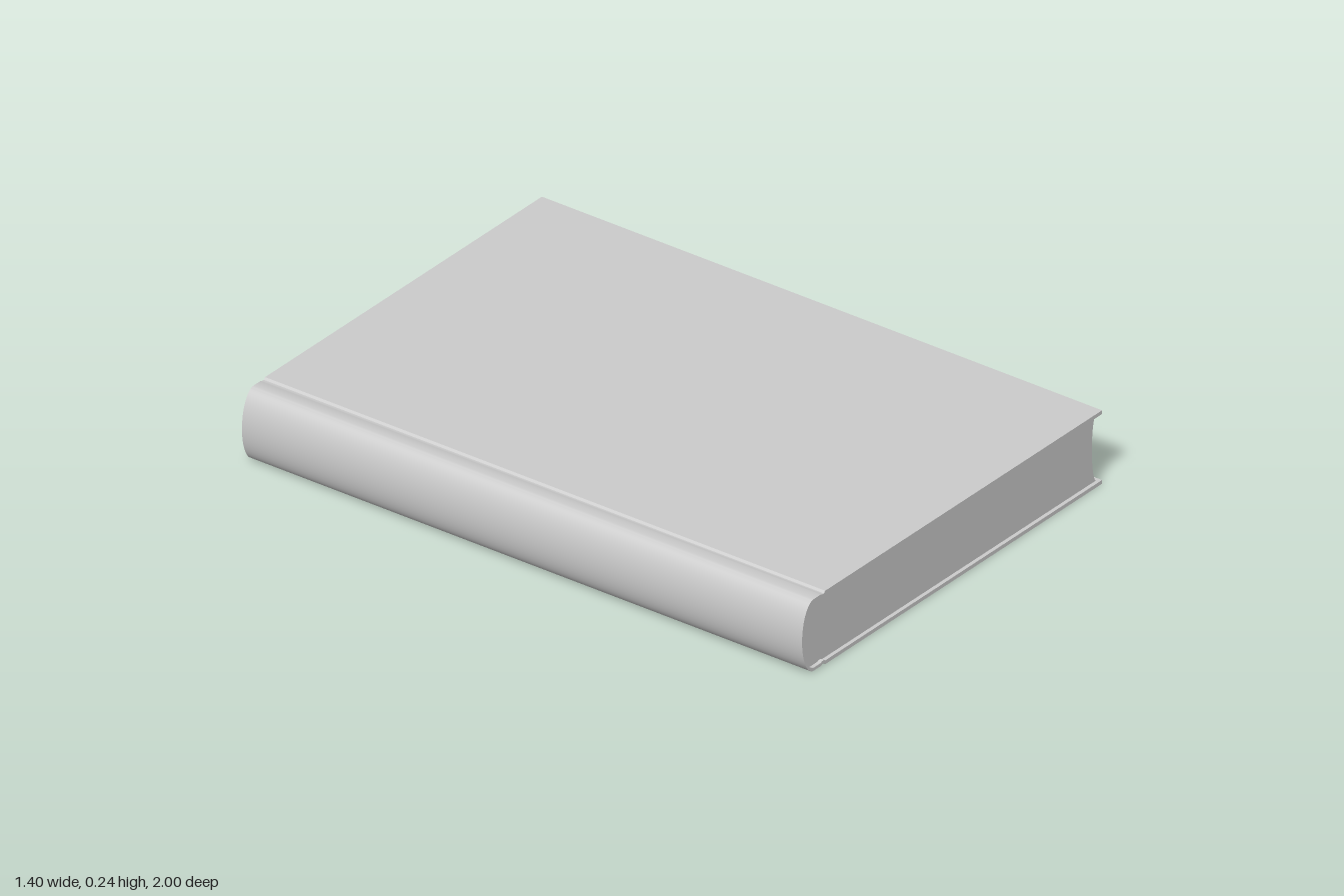
import * as THREE from 'three';
import { toCreasedNormals } from 'three/addons/utils/BufferGeometryUtils.js';

const MID = 0.12; // half the book's thickness

// Points of a half ellipse about (cx, MID), bulging to -x, from top to bottom
function bulge(cx, rx, ry, steps = 24) {
  return Array.from({ length: steps + 1 }, (_, i) => {
    const a = Math.PI / 2 + (Math.PI * i) / steps;
    return new THREE.Vector2(cx + rx * Math.cos(a), MID + ry * Math.sin(a));
  });
}

// Upper points, a round back, then the same points mirrored below
function cShape(upper, round) {
  const top = upper.map(([x, y]) => new THREE.Vector2(x, y));
  const bottom = top.map((p) => new THREE.Vector2(p.x, 2 * MID - p.y)).reverse();
  return [...top, ...round, ...bottom];
}

function extrudeAlongZ(points, length, name) {
  const geometry = new THREE.ExtrudeGeometry(new THREE.Shape(points), { depth: length, bevelEnabled: false });
  geometry.translate(0, 0, -length / 2);
  const material = new THREE.MeshStandardMaterial({ color: 0xcccccc });
  const mesh = new THREE.Mesh(toCreasedNormals(geometry, 0.4), material);
  mesh.name = name;
  return mesh;
}

export function createModel() {
  const book = new THREE.Group();
  book.name = 'book';

  // Cover: two boards, hinge grooves and a rounded spine in one wrap
  const outer = cShape(
    [[0.7, 0.24], [-0.592, 0.24], [-0.598, 0.234], [-0.606, 0.234], [-0.614, 0.237]],
    bulge(-0.645, 0.055, 0.117)
  );
  const inner = cShape(
    [[0.7, 0.228], [-0.592, 0.228], [-0.598, 0.224], [-0.606, 0.224], [-0.614, 0.227]],
    bulge(-0.645, 0.047, 0.107)
  );
  book.add(extrudeAlongZ([...outer, ...inner.reverse()], 2, 'cover'));

  // Page block: rounded at the spine, hollow at the fore edge
  const back = cShape(
    [[-0.592, 0.228], [-0.598, 0.224], [-0.606, 0.224], [-0.614, 0.227]],
    bulge(-0.645, 0.047, 0.107)
  );
  const foreEdge = bulge(0.688, 0.02, 0.108).reverse();
  book.add(extrudeAlongZ([...back, ...foreEdge], 1.976, 'pages'));

  return book;
}
